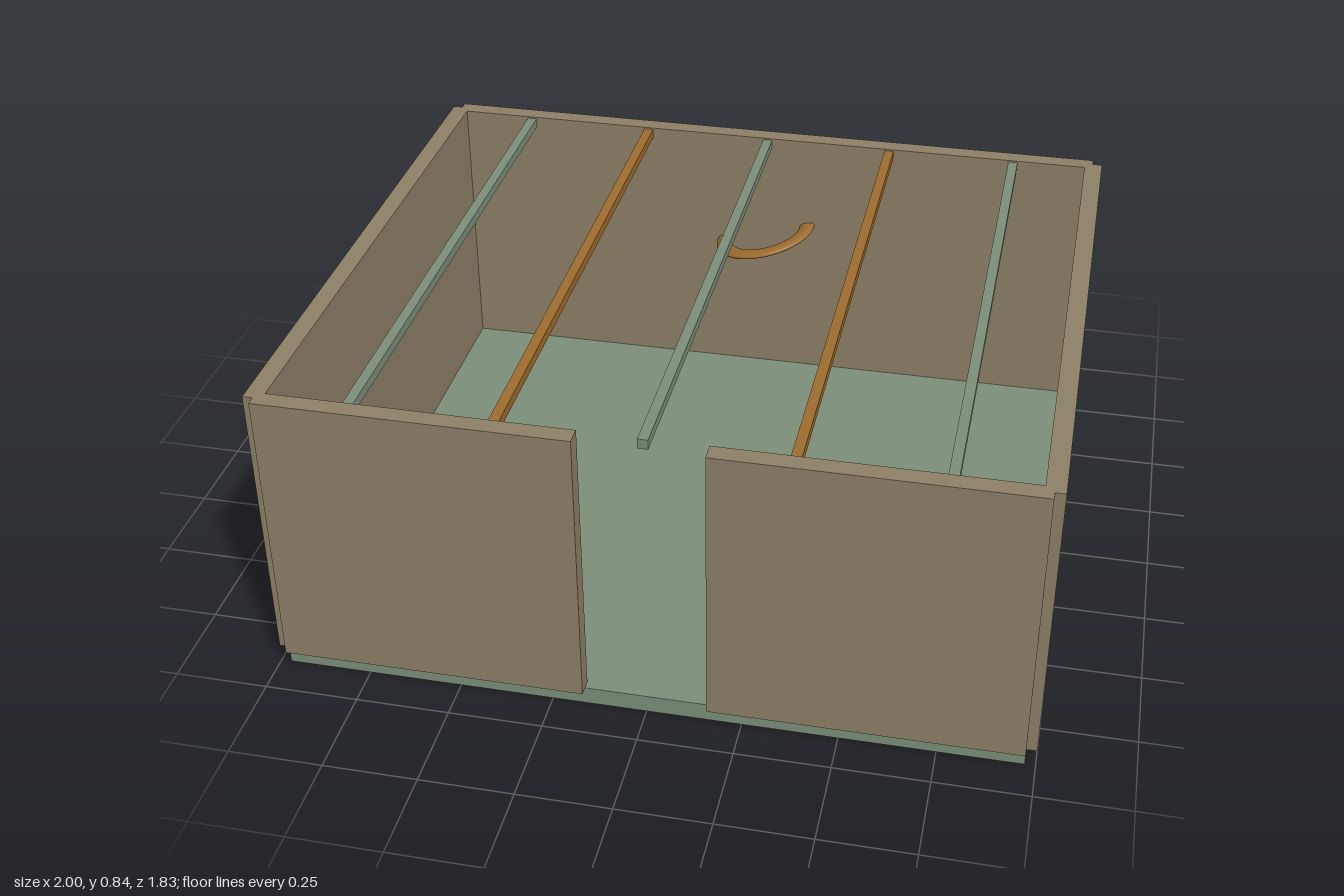
import * as THREE from 'three';

const wallMat = new THREE.MeshStandardMaterial({ color: 0x8f8168 });
const greenMat = new THREE.MeshStandardMaterial({ color: 0x7d917b });
const woodMat = new THREE.MeshStandardMaterial({ color: 0xa06e2f });

export function createModel() {
  const model = new THREE.Group();
  model.name = 'openRoom';

  // Box given by its lower and upper bounds on each axis
  const box = (name, mat, [x0, x1], [y0, y1], [z0, z1]) => {
    const mesh = new THREE.Mesh(new THREE.BoxGeometry(x1 - x0, y1 - y0, z1 - z0), mat);
    mesh.position.set((x0 + x1) / 2, (y0 + y1) / 2, (z0 + z1) / 2);
    mesh.name = name;
    model.add(mesh);
  };

  const halfX = 0.973, back = -0.795, front = 0.89;
  const t = 0.025; // half the wall thickness
  const wallY = [0.05, 0.84];

  // Floor slab
  box('floor', greenMat, [-halfX, halfX], [0, 0.05], [back, front]);

  // Walls, the front one split by a doorway
  box('backWall', wallMat, [-halfX, halfX], wallY, [back - t, back + t]);
  box('leftWall', wallMat, [0.95, 1], wallY, [back, front]);
  box('rightWall', wallMat, [-1, -0.95], wallY, [back, front]);
  box('frontWallLeft', wallMat, [0.163, halfX], wallY, [front - t, front + t]);
  box('frontWallRight', wallMat, [-halfX, -0.163], wallY, [front - t, front + t]);

  // Ceiling beams, alternating in colour
  for (let i = -2; i <= 2; i++) {
    const x = i * 0.37;
    box('ceilingBeam', i % 2 ? woodMat : greenMat,
      [x - 0.0135, x + 0.0135], [0.808, 0.835], [back + t, front - t]);
  }

  // Flattened, tilted ring passing through the back wall
  const ringGeo = new THREE.TorusGeometry(0.133, 0.024, 20, 64);
  ringGeo.scale(1, 1, 0.42);
  ringGeo.rotateX(Math.PI / 2);
  const ring = new THREE.Mesh(ringGeo, woodMat);
  ring.position.set(0, 0.52, -0.759);
  ring.rotation.z = 0.26;
  ring.name = 'wallRing';
  model.add(ring);

  return model;
}
